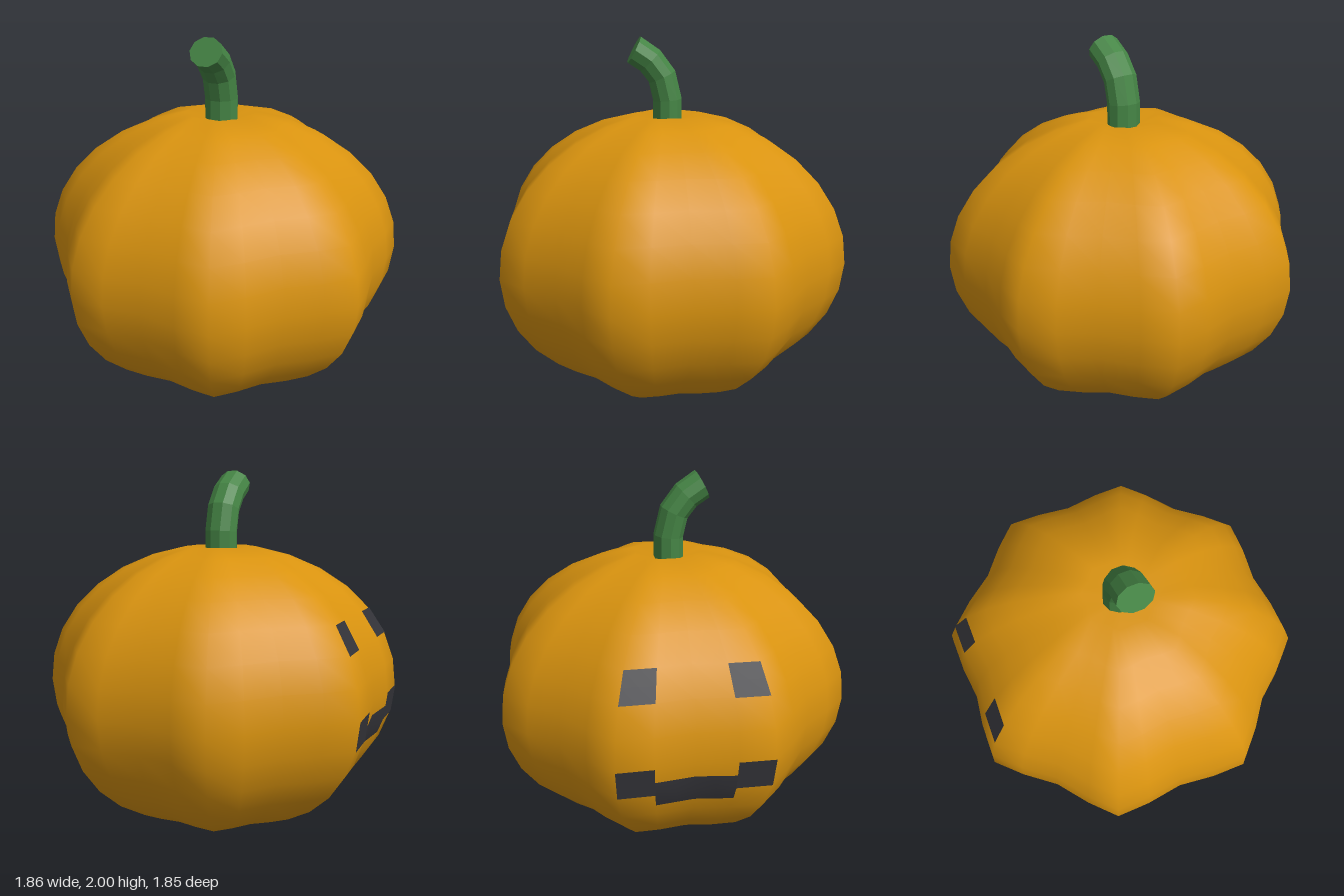
import * as THREE from 'three';
import { mergeVertices } from 'three/addons/utils/BufferGeometryUtils.js';

const paint = (color, extra = {}) => new THREE.MeshStandardMaterial({ color, ...extra });

// Grid of quads from a point rule f(u, v); u x v points outwards.
function gridGeometry(f, u0, u1, nu, v0, v1, nv) {
  const pos = [], index = [];
  for (let b = 0; b <= nv; b++)
    for (let a = 0; a <= nu; a++)
      pos.push(...f(u0 + (u1 - u0) * a / nu, v0 + (v1 - v0) * b / nv).toArray());
  for (let b = 0; b < nv; b++)
    for (let a = 0; a < nu; a++) {
      const p = b * (nu + 1) + a, q = p + nu + 1;
      index.push(p, p + 1, q, p + 1, q + 1, q);
    }
  const geo = new THREE.BufferGeometry();
  geo.setAttribute('position', new THREE.Float32BufferAttribute(pos, 3));
  geo.setIndex(index);
  const merged = mergeVertices(geo, 1e-4);
  merged.computeVertexNormals();
  return merged;
}

// Ribbed body: 8 lobes of 4 segments, 16 rings; u = 0 is the -x valley.
const CENTRE = new THREE.Vector3(0, 0.8, 0);
const LOBE_ANGLE = [0, 12.2, 22.5, 32.8], LOBE_RADIUS = [0.9, 0.946, 1.003, 0.946];

function bodyVertex(i, j) {
  const k = ((i % 4) + 4) % 4;
  const angle = THREE.MathUtils.degToRad(Math.floor(i / 4) * 45 + LOBE_ANGLE[k]);
  const lat = (j / 16 - 0.5) * Math.PI;
  const r = LOBE_RADIUS[k] * Math.cos(lat);
  const y = j === 16 ? 1.52 : 0.8 + 0.8 * Math.sin(lat); // sunken top
  return new THREE.Vector3(-r * Math.cos(angle), y, r * Math.sin(angle));
}

// Point between the body's vertices
function bodyPoint(u, v) {
  const i = Math.floor(u), j = Math.min(Math.floor(v), 15);
  const low = bodyVertex(i, j).lerp(bodyVertex(i + 1, j), u - i);
  const high = bodyVertex(i, j + 1).lerp(bodyVertex(i + 1, j + 1), u - i);
  return low.lerp(high, v - j);
}

// Dark patch lying just above the body
function facePatch(name, u0, u1, v0, v1, material) {
  const lifted = (u, v) => bodyPoint(u, v).sub(CENTRE).multiplyScalar(1.004).add(CENTRE);
  const geo = gridGeometry(lifted, u0, u1, (u1 - u0) * 2, v0, v1, (v1 - v0) * 2);
  const mesh = new THREE.Mesh(geo, material);
  mesh.name = name;
  return mesh;
}

// Bent ten-sided stem, leaning to +z
function stemGeometry() {
  const spine = [[0.005, 1.5], [0.005, 1.665], [0.035, 1.79], [0.1, 1.875], [0.185, 1.932]];
  const tilt = [0, 5, 25, 46, 62].map(THREE.MathUtils.degToRad);
  const point = (u, v) => {
    const n = Math.min(Math.round(v), 4), size = v > 4.5 ? 0 : 1; // last ring closes the tip
    const a = -u * Math.PI / 5;
    const across = 0.08 * size * Math.sin(a);
    return new THREE.Vector3(
      0.093 * size * Math.cos(a),
      spine[n][1] - across * Math.sin(tilt[n]),
      spine[n][0] + across * Math.cos(tilt[n]));
  };
  return gridGeometry(point, 0, 10, 10, 0, 5, 5);
}

export function createModel() {
  const model = new THREE.Group();
  model.name = 'pumpkin';

  const body = new THREE.Mesh(gridGeometry(bodyPoint, 0, 32, 32, 0, 16, 16), paint(0xd9930f));
  body.name = 'body';

  const stem = new THREE.Mesh(stemGeometry(), paint(0x458545, { flatShading: true }));
  stem.name = 'stem';

  // Carved face on the -x side
  const face = new THREE.Group();
  face.name = 'face';
  const dark = paint(0x333338);
  for (const [side, u] of [['back', -2], ['front', 1]]) {
    face.add(facePatch(side + 'Eye', u, u + 1, 10, 11, dark));
    face.add(facePatch(side + 'MouthCorner', u, u + 1, 7, 8, dark));
  }
  face.add(facePatch('mouth', -1, 1, 6.5, 7.5, dark));

  model.add(body, stem, face);
  return model;
}
